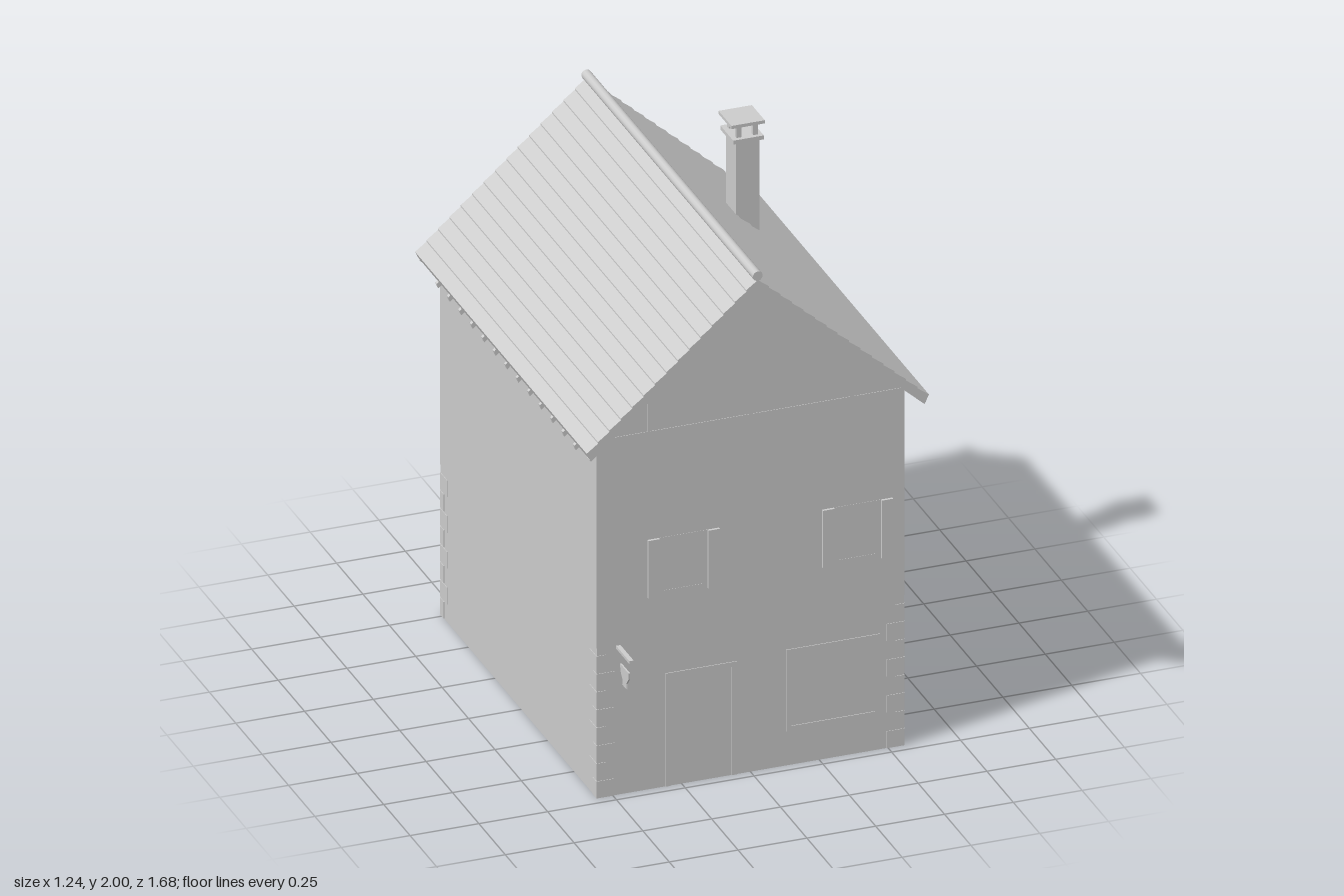
import * as THREE from 'three';

export function createModel() {
  const house = new THREE.Group();
  house.name = 'house';
  const grey = new THREE.MeshStandardMaterial({ color: 0xcccccc });
  grey.name = 'plain grey';

  const FRONT = 0.715, BACK = -0.765, MID = (FRONT + BACK) / 2, DEPTH = FRONT - BACK;
  const HALF = 0.558, FLOOR = 0.57, SLOPE = 0.89;
  const ROOF_FRONT = 0.785, ROOF_BACK = -0.84;

  function add(name, geometry, x = 0, y = 0, z = 0) {
    const mesh = new THREE.Mesh(geometry, grey);
    mesh.name = name;
    mesh.position.set(x, y, z);
    house.add(mesh);
    return mesh;
  }
  // Box given by its limits on each axis
  function block(name, x0, x1, y0, y1, z0, z1) {
    return add(name, new THREE.BoxGeometry(x1 - x0, y1 - y0, z1 - z0),
      (x0 + x1) / 2, (y0 + y1) / 2, (z0 + z1) / 2);
  }
  // Cross-section in x and y, extruded from z0 to z1
  function section(name, points, z0, z1) {
    const shape = new THREE.Shape(points.map(p => new THREE.Vector2(p[0], p[1])));
    return add(name, new THREE.ExtrudeGeometry(shape, { depth: z1 - z0, bevelEnabled: false }), 0, 0, z0);
  }

  // Hollow walls, upper storey very slightly proud of the lower
  const T = 0.012;
  for (const s of [-1, 1]) {
    const side = (name, outer, y0, y1) =>
      block(name, Math.min(s * outer, s * (outer - T)), Math.max(s * outer, s * (outer - T)), y0, y1, BACK, FRONT);
    side('lowerSideWall', HALF, 0, FLOOR);
    side('upperSideWall', HALF + 0.002, FLOOR, 1.375);
  }
  const top = 1.872, eave = top - SLOPE * HALF;
  const gable = [[-HALF, FLOOR], [HALF, FLOOR], [HALF, eave], [0, top], [-HALF, eave]];
  for (const [z, s] of [[FRONT, 1], [BACK, -1]]) {
    // Thin layer on an end wall; a and b are distances outward from the wall
    const face = (name, x0, x1, y0, y1, a, b) =>
      block(name, x0, x1, y0, y1, Math.min(z + s * a, z + s * b), Math.max(z + s * a, z + s * b));
    const frame = (name, x0, x1, y0, y1, sill) => {
      const w = 0.018, a = -0.025, b = 0.003;
      face(name, x0, x0 + w, y0, y1, a, b);
      face(name, x1 - w, x1, y0, y1, a, b);
      face(name, x0 + w, x1 - w, y1 - w, y1, a, b);
      if (sill) face(name, x0 + w, x1 - w, y0, y0 + w, a, b);
    };

    face('lowerEndWall', -HALF, HALF, 0, FLOOR, -T, 0);
    section('gableWall', gable, Math.min(z - s * T, z + s * 0.002), Math.max(z - s * T, z + s * 0.002));

    // Gable timbers
    face('gableBeam', -HALF, HALF, 1.35, 1.362, 0, 0.004);
    for (const x of [-0.37, 0, 0.37]) {
      face('gablePost', x - 0.006, x + 0.006, 1.362, top - SLOPE * (Math.abs(x) + 0.006), 0, 0.004);
    }

    // Upper windows with shutters
    for (const [x0, x1] of [[-0.375, -0.115], [0.26, 0.515]]) {
      face('shutter', x0, x0 + 0.042, 0.73, 0.95, 0, 0.012);
      face('shutter', x1 - 0.042, x1, 0.73, 0.95, 0, 0.012);
      frame('upperWindowFrame', x0 + 0.042, x1 - 0.042, 0.73, 0.95, true);
    }

    // Ground floor openings
    if (s > 0) {
      frame('frontDoorFrame', -0.31, -0.05, 0, 0.43, false);
      frame('frontWindowFrame', 0.13, 0.47, 0.13, 0.44, true);
    } else {
      frame('backDoorFrame', 0.27, 0.51, 0, 0.42, false);
    }

    // Alternating corner stones
    for (const sx of [-1, 1]) {
      for (let i = 0; i < 8; i++) {
        const lx = i % 2 ? 0.035 : 0.065, lz = i % 2 ? 0.065 : 0.035, ox = HALF + 0.002;
        const xa = sx * ox, xb = sx * (ox - lx), za = z + s * 0.002, zb = z - s * lz;
        block('cornerStone', Math.min(xa, xb), Math.max(xa, xb), i * 0.068, i * 0.068 + 0.064,
          Math.min(za, zb), Math.max(za, zb));
      }
    }
    // Floor beam inside
    face('floorBeam', -HALF + T, HALF - T, FLOOR, FLOOR + 0.03, -0.03, -T);
  }
  for (const s of [-1, 1]) {
    const beam = add('floorBeam', new THREE.BoxGeometry(0.02, 0.03, DEPTH - 0.06), s * (HALF - T - 0.01), FLOOR + 0.015, MID);
    beam.name = 'sideFloorBeam';
  }

  // Roof halves with stepped courses, barge boards and rafter tails
  const RIDGE = 1.902, EDGE = 0.622, COURSES = 15;
  for (const s of [-1, 1]) {
    const pts = [[0, RIDGE - 0.03], [0, RIDGE]];
    for (let i = 0; i < COURSES; i++) {
      const x = EDGE * (i + 1) / COURSES, y = RIDGE - SLOPE * x;
      pts.push([s * x, y + 0.006]);
      if (i < COURSES - 1) pts.push([s * x, y]);
    }
    pts.push([s * (EDGE - 0.012), RIDGE - 0.03 - SLOPE * (EDGE - 0.012)]);
    section('roofSlope', pts, ROOF_BACK, ROOF_FRONT);

    const out = 0.612, low = RIDGE - 0.042, high = RIDGE - 0.028;
    const board = [[0, low], [0, high], [s * out, high - SLOPE * out], [s * (out - 0.006), low - SLOPE * (out - 0.006)]];
    section('bargeBoard', board, ROOF_FRONT - 0.02, ROOF_FRONT - 0.001);
    section('bargeBoard', board, ROOF_BACK + 0.001, ROOF_BACK + 0.02);

    const tail = [0.5, 0.618].map(x => [s * x, high - SLOPE * x]);
    tail.push([s * 0.612, 1.306], [s * 0.5, 1.306 + SLOPE * 0.112]);
    for (let i = -6; i <= 6; i++) section('rafterTail', tail, i * 0.1085 - 0.007, i * 0.1085 + 0.007);
  }
  const cap = add('ridgeCap', new THREE.CylinderGeometry(0.018, 0.018, ROOF_FRONT - ROOF_BACK, 12),
    0, 1.917, (ROOF_FRONT + ROOF_BACK) / 2);
  cap.rotation.x = Math.PI / 2;

  // Chimney with a raised cover on four posts
  block('chimneyStack', 0.282, 0.366, 1.55, 1.93, -0.253, -0.155);
  block('chimneyCollar', 0.267, 0.378, 1.93, 1.945, -0.266, -0.143);
  for (const x of [0.285, 0.345]) {
    for (const z of [-0.25, -0.176]) block('chimneyPost', x, x + 0.018, 1.945, 1.99, z, z + 0.018);
  }
  block('chimneyCover', 0.262, 0.383, 1.988, 2, -0.269, -0.147);

  // Hanging sign on a bracket
  block('signBracket', -0.488, -0.472, 0.556, 0.567, FRONT, 0.84);
  const cup = [[-0.04, 0.51], [-0.038, 0.485], [-0.018, 0.46], [-0.02, 0.44],
    [0.02, 0.44], [0.018, 0.46], [0.038, 0.485], [0.04, 0.51]];
  const sign = section('hangingSign', cup, -0.003, 0.003);
  sign.rotation.y = Math.PI / 2;
  sign.position.set(-0.483, 0, 0.78);

  return house;
}
